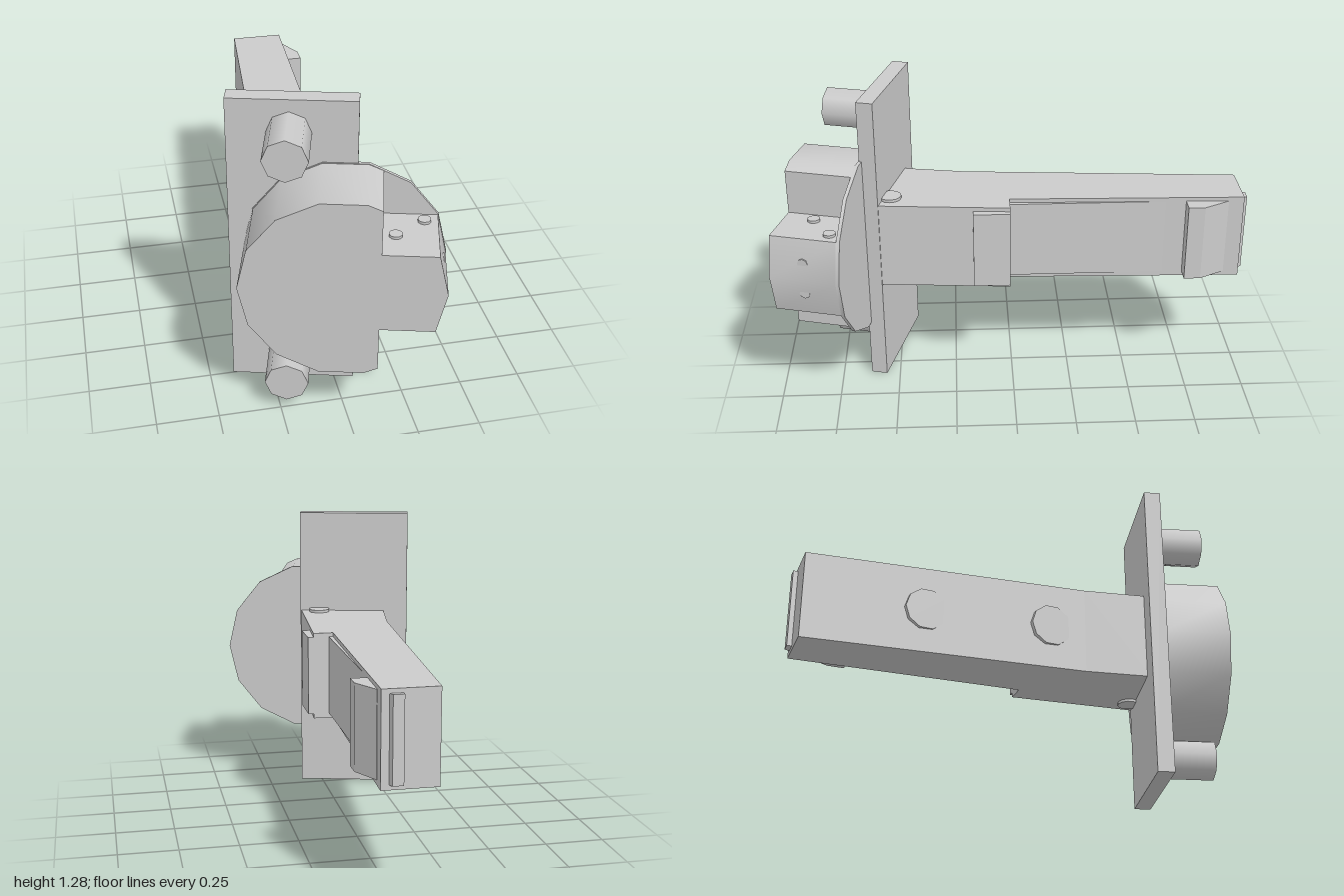
import * as THREE from 'three';
import { toCreasedNormals } from 'three/addons/utils/BufferGeometryUtils.js';

const material = new THREE.MeshStandardMaterial({ color: 0xcccccc });
const MID = 0.643; // height of the arm and disc axis

function add(parent, name, geometry) {
  const mesh = new THREE.Mesh(geometry, material);
  mesh.name = name;
  parent.add(mesh);
  return mesh;
}

// Prism standing on a plan outline of [x, z] points
function planPrism(points, bottom, top) {
  const shape = new THREE.Shape(points.map(([x, z]) => new THREE.Vector2(x, -z)));
  return new THREE.ExtrudeGeometry(shape, { depth: top - bottom, bevelEnabled: false })
    .rotateX(-Math.PI / 2).translate(0, bottom, 0);
}

// Prism facing forward on an outline of [x, y] points
function facePrism(points, back, front) {
  const shape = new THREE.Shape(points.map(([x, y]) => new THREE.Vector2(x, y)));
  const geometry = new THREE.ExtrudeGeometry(shape, { depth: front - back, bevelEnabled: false });
  return toCreasedNormals(geometry.translate(0, 0, back), 0.5);
}

export function createModel() {
  const model = new THREE.Group();
  model.name = 'latch';

  // Arm
  const arm = new THREE.Group();
  arm.name = 'arm';
  model.add(arm);
  add(arm, 'armBody', planPrism([
    [-0.145, -0.98], [-0.235, 0.2], [-0.283, 0.473], [0.09, 0.57],
    [0.135, 0.01], [0.05, 0.01], [0.077, -0.98],
  ], 0.455, 0.83));

  // Raised details, slightly lower than the arm
  const details = {
    sidePanel: [[0, 0.02], [0.068, 0.02], [0.068, -0.735], [0, -0.735]],
    stopBlock: [[0.06, 0.01], [0.158, 0.01], [0.158, 0.165], [0.06, 0.165]],
    catchHook: [[0.03, -0.735], [0.135, -0.735], [0.135, -0.805], [0.077, -0.915], [0.03, -0.915]],
    endStrip: [[-0.005, -0.97], [-0.005, -1], [0.038, -1], [0.05, -0.97]],
  };
  for (const [name, outline] of Object.entries(details)) {
    add(arm, name, planPrism(outline, 0.475, 0.813));
  }

  // Round caps on the arm's side
  for (const [x, z] of [[-0.183, -0.48], [-0.224, 0.05]]) {
    const cap = add(arm, 'sideCap', new THREE.CylinderGeometry(0.09, 0.09, 0.02, 10).rotateZ(Math.PI / 2));
    cap.position.set(x, MID, z);
    cap.rotation.y = 0.06;
  }

  // Pivot pin through the arm
  add(arm, 'pivotPin', new THREE.CylinderGeometry(0.047, 0.047, 0.398, 12)).position.set(0.015, MID, 0.51);

  // Head, turned against the arm
  const head = new THREE.Group();
  head.name = 'head';
  head.rotation.y = -Math.PI / 12;
  model.add(head);

  add(head, 'mountingPlate', new THREE.BoxGeometry(0.496, 1.285, 0.07)).position.set(-0.012, 0.6425, 0.55);

  // Bolts
  for (const y of [0.137, 1.15]) {
    add(head, 'bolt', new THREE.CylinderGeometry(0.086, 0.086, 0.23, 8).rotateX(Math.PI / 2))
      .position.set(-0.023, y, 0.685);
  }

  // Fourteen-sided disc: thin full flange and a notched body with a tab
  const disc = new THREE.Group();
  disc.name = 'disc';
  disc.position.set(0.19, MID, 0);
  head.add(disc);
  const R = 0.391;
  const corner = (k, r = R) => [r * Math.cos(k * Math.PI / 7), r * Math.sin(k * Math.PI / 7)];
  const ring = Array.from({ length: 14 }, (_, k) => corner(k, R + 0.003));
  add(disc, 'flange', facePrism(ring, 0.574, 0.589));

  const tabY = corner(1)[1];
  const wallX = 0.142;
  const body = [corner(13), corner(0), corner(1), [wallX, tabY], [wallX, 0.357]];
  for (let k = 3; k <= 11; k++) body.push(corner(k));
  body.push([wallX, -0.357], [wallX, -tabY]);
  add(disc, 'discBody', facePrism(body, 0.58, 0.871));

  // Small pins through the tab
  for (const [x, z] of [[0.192, 0.741], [0.300, 0.636]]) {
    add(disc, 'tabPin', new THREE.CylinderGeometry(0.026, 0.026, 2 * tabY + 0.022, 10)).position.set(x, 0, z);
  }
  for (const y of [-0.068, 0.068]) {
    add(disc, 'tipPin', new THREE.CylinderGeometry(0.022, 0.022, 0.06, 8).rotateZ(Math.PI / 2))
      .position.set(0.347, y, 0.73);
  }
  return model;
}
